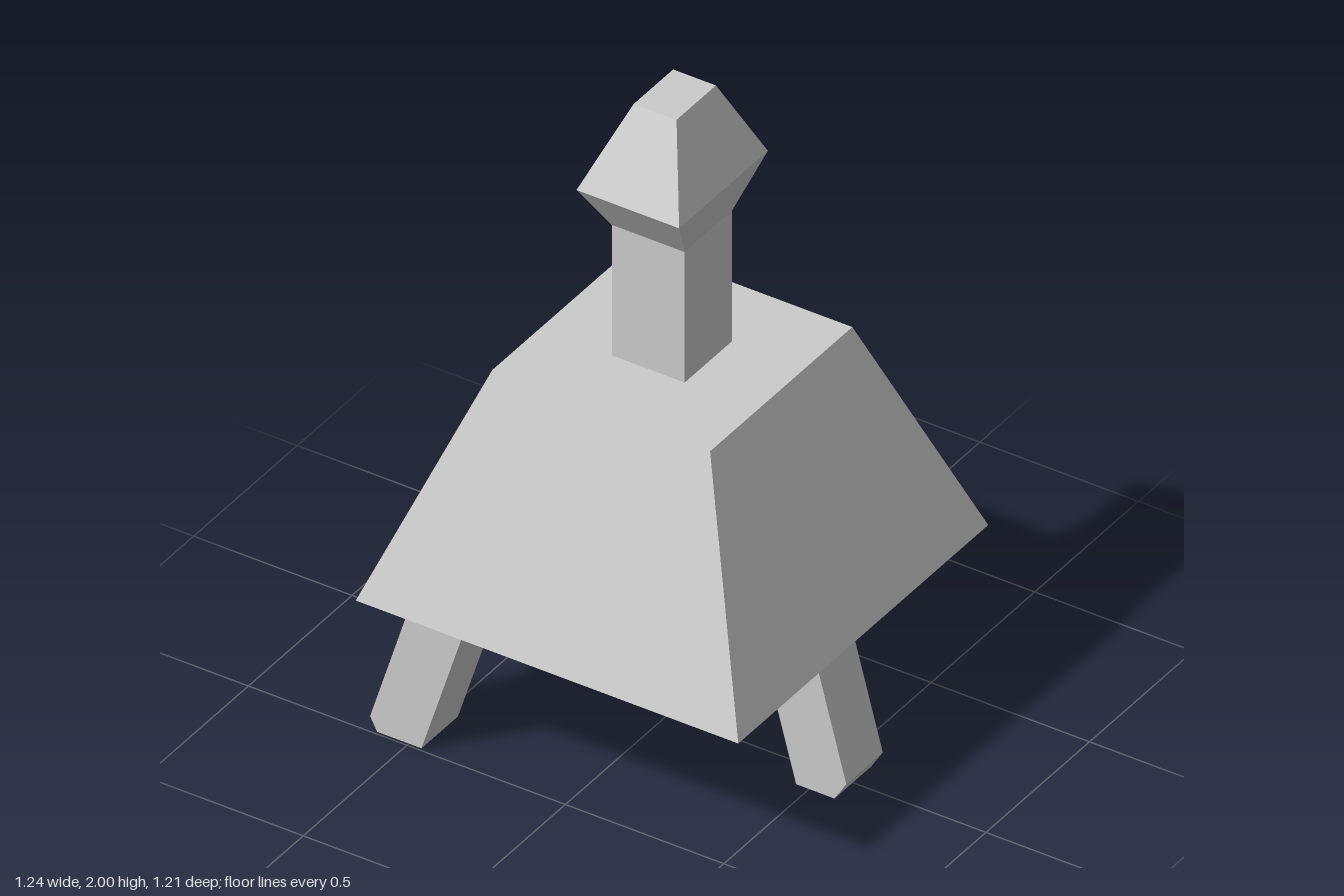
import * as THREE from 'three';

const material = new THREE.MeshStandardMaterial({ color: 0xcccccc, flatShading: true });

// Stack of rectangular sections, each [y, xMin, xMax, half depth], bottom to top.
function stack(name, sections) {
  const n = sections.length - 1;
  const geometry = new THREE.BoxGeometry(1, 1, 1, 1, n, 1).toNonIndexed();
  const p = geometry.attributes.position;
  for (let i = 0; i < p.count; i++) {
    const [y, x0, x1, d] = sections[Math.round((p.getY(i) + 0.5) * n)];
    p.setXYZ(i, p.getX(i) < 0 ? x0 : x1, y, p.getZ(i) < 0 ? -d : d);
  }
  geometry.computeVertexNormals();
  const mesh = new THREE.Mesh(geometry, material);
  mesh.name = name;
  return mesh;
}

// Splayed square leg with a clipped toe, drawn in side profile and given depth.
function leg(name, profile, z) {
  const width = 0.176;
  const shape = new THREE.Shape(profile.map(([x, y]) => new THREE.Vector2(x, y)));
  const geometry = new THREE.ExtrudeGeometry(shape, { depth: width, bevelEnabled: false });
  geometry.translate(0, 0, -width / 2);
  const mesh = new THREE.Mesh(geometry, material);
  mesh.name = name;
  mesh.position.z = z;
  return mesh;
}

export function createModel() {
  const model = new THREE.Group();
  model.name = 'threeLeggedTower';

  // Tapered body
  model.add(stack('body', [
    [0.49, -0.594, 0.613, 0.603],
    [1.18, -0.333, 0.354, 0.343],
  ]));

  // Neck flaring into the faceted head
  model.add(stack('neck', [
    [1.18, -0.106, 0.124, 0.114],
    [1.6, -0.106, 0.124, 0.114],
  ]));
  model.add(stack('head', [
    [1.6, -0.106, 0.124, 0.114],
    [1.753, -0.152, 0.172, 0.214],
    [2, -0.049, 0.086, 0.095],
  ]));

  // Two legs on the right, one in the middle of the left
  const rightProfile = [[-0.482, 0.49], [-0.622, 0.042], [-0.6, 0], [-0.46, 0], [-0.305, 0.49]];
  const leftProfile = [[0.326, 0.49], [0.459, 0], [0.58, 0], [0.617, 0.06], [0.502, 0.49]];
  model.add(leg('rightFrontLeg', rightProfile, 0.403));
  model.add(leg('rightBackLeg', rightProfile, -0.403));
  model.add(leg('leftLeg', leftProfile, 0));

  return model;
}
